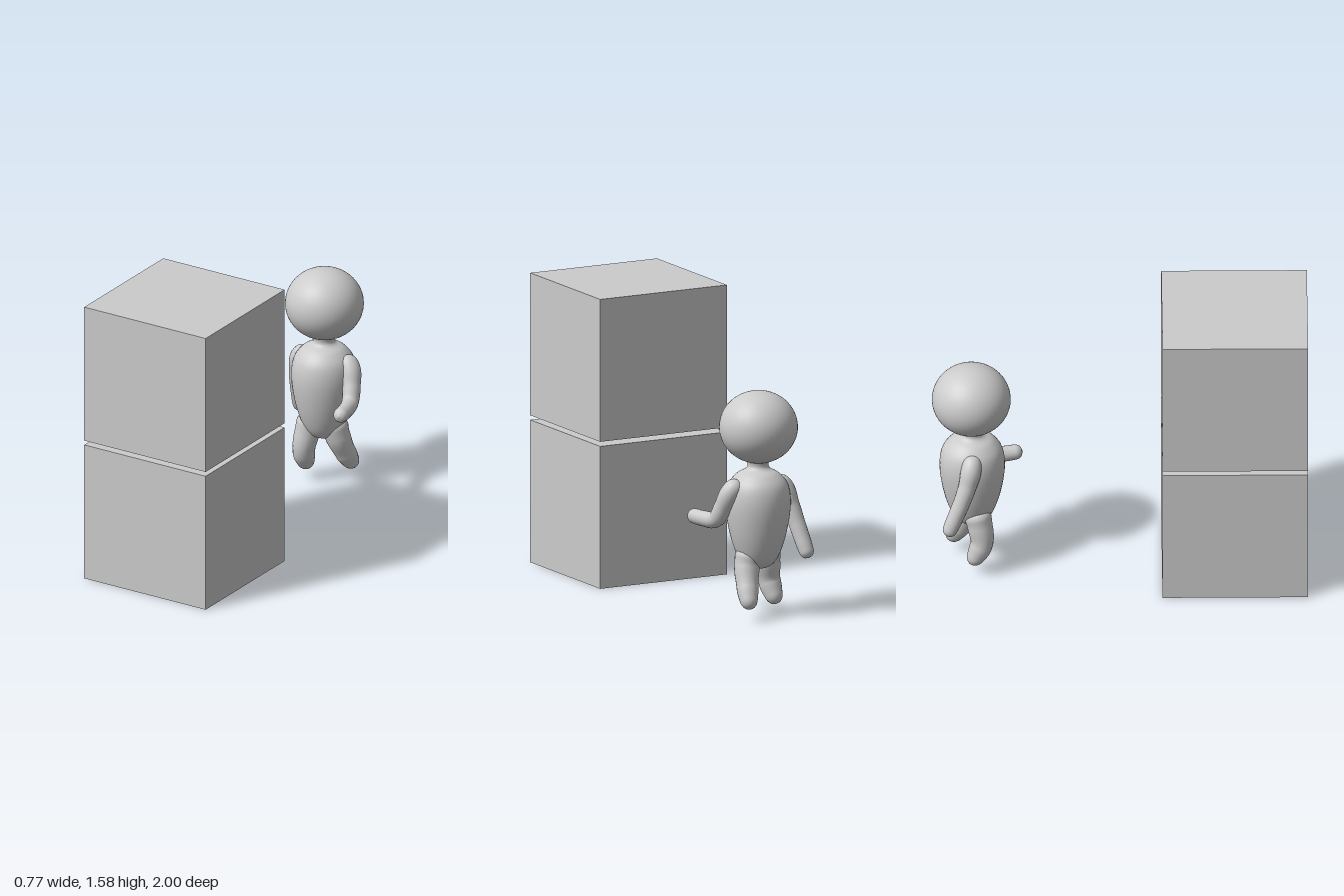
import * as THREE from 'three';

const material = new THREE.MeshStandardMaterial({ color: 0xcccccc });

function add(parent, name, geometry, x = 0, y = 0, z = 0) {
  const mesh = new THREE.Mesh(geometry, material);
  mesh.name = name;
  mesh.position.set(x, y, z);
  parent.add(mesh);
  return mesh;
}

// Round-ended limb along a smooth path, its radius blended between the given values
function limb(path, radii) {
  const curve = new THREE.CatmullRomCurve3(path.map(p => new THREE.Vector3(...p)));
  const rings = 72, sides = 20, length = curve.getLength();
  const geometry = new THREE.TubeGeometry(curve, rings, 1, sides, false);
  const pos = geometry.attributes.position, v = new THREE.Vector3();
  for (let i = 0; i <= rings; i++) {
    const t = i / rings, f = t * (radii.length - 1);
    const k = Math.min(Math.floor(f), radii.length - 2);
    let r = THREE.MathUtils.lerp(radii[k], radii[k + 1], THREE.MathUtils.smoothstep(f - k, 0, 1));
    const end = Math.min(t, 1 - t) * length;
    if (end < r) r *= Math.sqrt(Math.max(1e-6, 1 - (1 - end / r) ** 2));
    const centre = curve.getPointAt(t);
    for (let j = 0; j <= sides; j++) {
      const n = i * (sides + 1) + j;
      v.fromBufferAttribute(pos, n).sub(centre).multiplyScalar(r).add(centre);
      pos.setXYZ(n, v.x, v.y, v.z);
    }
  }
  geometry.computeVertexNormals();
  return geometry;
}

export function createModel() {
  const model = new THREE.Group();
  model.name = 'figureBehindBoxes';

  // Two stacked boxes with a narrow gap
  add(model, 'lowerBox', new THREE.BoxGeometry(0.77, 0.775, 0.775), 0, 0.3875, 0.6125);
  add(model, 'upperBox', new THREE.BoxGeometry(0.77, 0.775, 0.775), 0, 1.1875, 0.6125);

  const figure = new THREE.Group();
  figure.name = 'figure';
  model.add(figure);

  // Slightly flattened round head
  add(figure, 'head', new THREE.SphereGeometry(0.21, 48, 32), -0.02, 1.03, -0.79).scale.y = 0.93;

  // Pear-shaped torso running up into the neck
  const outline = new THREE.SplineCurve([
    [0, 0.26], [0.06, 0.272], [0.105, 0.32], [0.143, 0.42], [0.168, 0.54], [0.174, 0.64],
    [0.158, 0.72], [0.115, 0.775], [0.068, 0.802], [0.056, 0.825], [0.065, 0.86]
  ].map(p => new THREE.Vector2(...p)));
  const profile = outline.getPoints(60);
  profile.forEach(p => { p.x = Math.max(p.x, 0); });
  add(figure, 'torso', new THREE.LatheGeometry(profile, 40), -0.02, 0, -0.785);

  // Left arm reaches forward, right arm hangs slightly back
  add(figure, 'leftArm', limb([
    [0.09, 0.74, -0.8], [0.14, 0.7, -0.79], [0.175, 0.61, -0.755],
    [0.195, 0.535, -0.71], [0.225, 0.525, -0.61], [0.245, 0.53, -0.515]
  ], [0.05, 0.055, 0.048, 0.045, 0.042, 0.04]));
  add(figure, 'rightArm', limb([
    [-0.12, 0.74, -0.785], [-0.17, 0.69, -0.79], [-0.2, 0.6, -0.81],
    [-0.22, 0.51, -0.84], [-0.238, 0.41, -0.88], [-0.255, 0.315, -0.92]
  ], [0.05, 0.055, 0.048, 0.045, 0.043, 0.038]));

  // Legs in mid stride
  add(figure, 'leftLeg', limb([
    [0.03, 0.39, -0.79], [0.055, 0.28, -0.8], [0.075, 0.18, -0.84], [0.095, 0.07, -0.905]
  ], [0.08, 0.068, 0.058, 0.042]));
  add(figure, 'rightLeg', limb([
    [-0.08, 0.39, -0.77], [-0.1, 0.28, -0.745], [-0.115, 0.18, -0.735], [-0.13, 0.055, -0.79]
  ], [0.08, 0.068, 0.06, 0.042]));

  return model;
}
